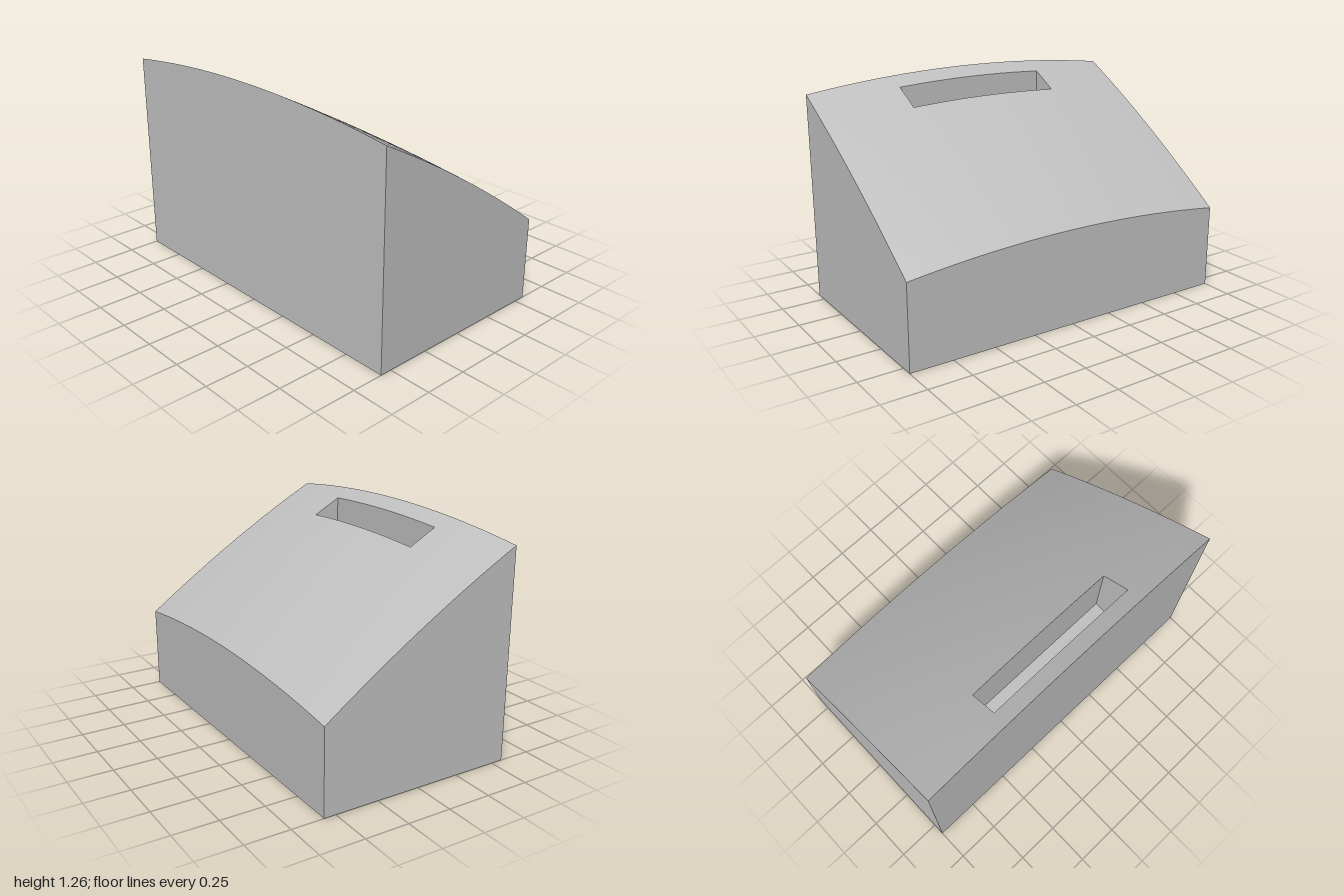
import * as THREE from 'three';

const W = 1, D = 0.567;                                   // half width and half depth
const SLOT = { x: 0.475, z0: 0.31, z1: 0.47, floor: 0.7 };
const CAVITY = { x: 0.81, z: 0.38, ceiling: 0.51 };

// Height of the crowned, sloping top
const topY = (x, z) => 0.905 + 0.626 * z + 0.03 * (1 - (z / D) ** 2) - 0.067 * x * x;

// Evenly spaced values through a list of fixed stops
function subdivide(stops, step) {
  const out = [stops[0]];
  for (let i = 1; i < stops.length; i++) {
    const a = stops[i - 1], b = stops[i];
    const n = Math.ceil((b - a) / step);
    for (let k = 1; k <= n; k++) out.push(k === n ? b : a + (b - a) * k / n);
  }
  return out;
}
const xs = subdivide([-W, -SLOT.x, SLOT.x, W], 0.1);
const zs = subdivide([-D, SLOT.z0, SLOT.z1, D], 0.1);

// Curved top, left open over the slot
function topGeometry() {
  const pos = [], index = [], cols = xs.length;
  for (const z of zs) for (const x of xs) pos.push(x, topY(x, z), z);
  for (let j = 0; j < zs.length - 1; j++) {
    for (let i = 0; i < cols - 1; i++) {
      const mx = (xs[i] + xs[i + 1]) / 2, mz = (zs[j] + zs[j + 1]) / 2;
      if (Math.abs(mx) < SLOT.x && mz > SLOT.z0 && mz < SLOT.z1) continue;
      const a = j * cols + i, b = a + 1, c = a + cols, d = c + 1;
      index.push(a, c, b, b, c, d);
    }
  }
  const g = new THREE.BufferGeometry();
  g.setAttribute('position', new THREE.Float32BufferAttribute(pos, 3));
  g.setIndex(index);
  g.computeVertexNormals();
  return g;
}

// Upright walls round a rectangle, from a flat base up to a height rule
function wallGeometry(hx, z0, z1, base, height, inward = false) {
  const px = [-hx, ...xs.filter(x => Math.abs(x) < hx - 1e-6), hx];
  const pz = [z0, ...zs.filter(z => z > z0 + 1e-6 && z < z1 - 1e-6), z1];
  const loop = [
    ...px.map(x => [x, z1]),
    ...[...pz].reverse().map(z => [hx, z]),
    ...[...px].reverse().map(x => [x, z0]),
    ...pz.map(z => [-hx, z]),
  ];
  if (inward) loop.reverse();
  const pos = [];
  for (let i = 0; i < loop.length - 1; i++) {
    const [ax, az] = loop[i], [bx, bz] = loop[i + 1];
    if (Math.hypot(bx - ax, bz - az) < 1e-6) continue;
    const ta = height(ax, az), tb = height(bx, bz);
    pos.push(ax, base, az, bx, base, bz, bx, tb, bz);
    pos.push(ax, base, az, bx, tb, bz, ax, ta, az);
  }
  const g = new THREE.BufferGeometry();
  g.setAttribute('position', new THREE.Float32BufferAttribute(pos, 3));
  g.computeVertexNormals();
  return g;
}

// Flat underside rim round the cavity
function rimGeometry() {
  const rect = (path, x, z) => path.moveTo(-x, -z).lineTo(x, -z).lineTo(x, z).lineTo(-x, z).closePath();
  const shape = rect(new THREE.Shape(), W, D);
  shape.holes.push(rect(new THREE.Path(), CAVITY.x, CAVITY.z));
  return new THREE.ShapeGeometry(shape).rotateX(Math.PI / 2);
}

export function createModel() {
  const model = new THREE.Group();
  model.name = 'slottedBlock';
  const grey = new THREE.MeshStandardMaterial({ color: 0xbfbfbf });
  grey.name = 'grey';
  const add = (name, geometry) => {
    const mesh = new THREE.Mesh(geometry, grey);
    mesh.name = name;
    model.add(mesh);
    return mesh;
  };

  // Outer shell
  add('curvedTop', topGeometry());
  add('outerWalls', wallGeometry(W, -D, D, 0, topY));
  add('bottomRim', rimGeometry());

  // Blind slot in the top
  add('slotWalls', wallGeometry(SLOT.x, SLOT.z0, SLOT.z1, SLOT.floor, topY, true));
  add('slotFloor', new THREE.PlaneGeometry(2 * SLOT.x, SLOT.z1 - SLOT.z0).rotateX(-Math.PI / 2))
    .position.set(0, SLOT.floor, (SLOT.z0 + SLOT.z1) / 2);

  // Hollow underneath
  add('cavityWalls', wallGeometry(CAVITY.x, -CAVITY.z, CAVITY.z, 0, () => CAVITY.ceiling, true));
  add('cavityCeiling', new THREE.PlaneGeometry(2 * CAVITY.x, 2 * CAVITY.z).rotateX(Math.PI / 2))
    .position.y = CAVITY.ceiling;

  return model;
}
